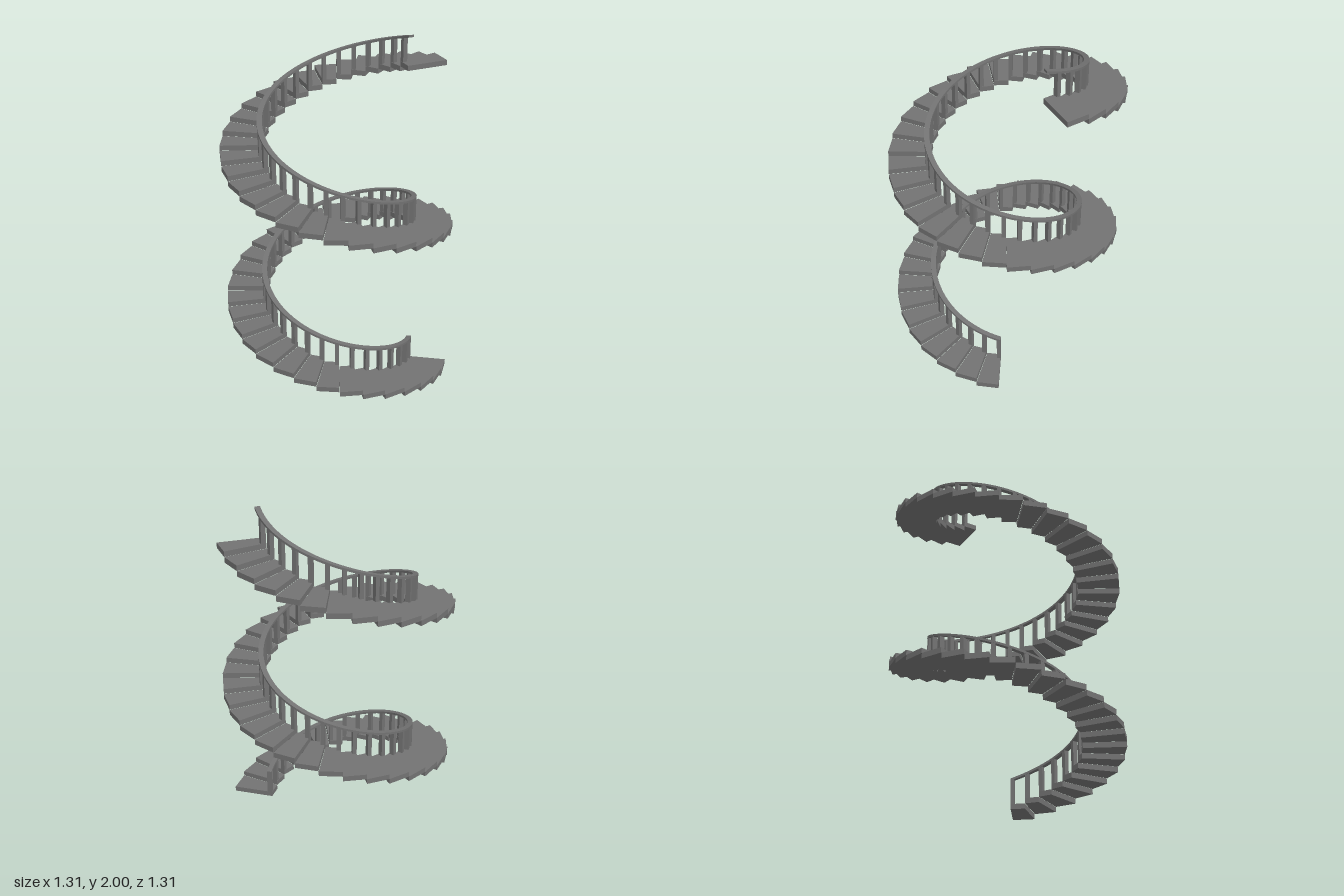
import * as THREE from 'three';
import { toCreasedNormals } from 'three/addons/utils/BufferGeometryUtils.js';

const STEPS = 60;
const RISE = 1.824 / STEPS;
const TURN = THREE.MathUtils.degToRad(11.487);
const START = THREE.MathUtils.degToRad(22.5);
const INNER = 0.416, OUTER = 0.655, RAIL_OUTER = 0.446;
const RAIL_START = 0.181, RAIL_END = 2, RAIL_THICK = 0.013;

const material = new THREE.MeshStandardMaterial({ color: 0x727272 });

const railTop = (t) => RAIL_START + (RAIL_END - RAIL_START) * t / STEPS;

// Wedge-shaped tread, its first edge lying along +x, base at y = 0
function treadGeometry() {
  const a = TURN - 0.003;
  const shape = new THREE.Shape([
    new THREE.Vector2(INNER, 0),
    new THREE.Vector2(OUTER, 0),
    new THREE.Vector2(OUTER * Math.cos(a), OUTER * Math.sin(a)),
    new THREE.Vector2(INNER * Math.cos(a), INNER * Math.sin(a)),
  ]);
  return new THREE.ExtrudeGeometry(shape, { depth: RISE, bevelEnabled: false })
    .rotateX(Math.PI / 2)
    .translate(0, RISE, 0);
}

// Rectangular section swept along the helix
function handrailGeometry() {
  const segments = STEPS * 4, positions = [], index = [];
  for (let i = 0; i <= segments; i++) {
    const t = i / 4, a = START + t * TURN, y = railTop(t);
    const section = [
      [INNER, y - RAIL_THICK], [RAIL_OUTER, y - RAIL_THICK], [RAIL_OUTER, y], [INNER, y],
    ];
    for (const [r, h] of section) positions.push(r * Math.cos(a), h, r * Math.sin(a));
    if (i === segments) break;
    for (let k = 0; k < 4; k++) {
      const p = i * 4 + k, q = i * 4 + (k + 1) % 4;
      index.push(p, q, p + 4, q, q + 4, p + 4);
    }
  }
  // End caps
  const e = segments * 4;
  index.push(0, 2, 1, 0, 3, 2, e, e + 1, e + 2, e, e + 2, e + 3);
  const geometry = new THREE.BufferGeometry();
  geometry.setAttribute('position', new THREE.Float32BufferAttribute(positions, 3));
  geometry.setIndex(index);
  return toCreasedNormals(geometry, Math.PI / 6);
}

export function createModel() {
  const model = new THREE.Group();
  model.name = 'spiralStaircase';

  const treadGeo = treadGeometry();
  const postWidth = 0.023, postDepth = RAIL_OUTER - INNER - 0.002;
  const postHeight = RAIL_START - RISE - 0.005;
  const postGeo = new THREE.BoxGeometry(postDepth, postHeight, postWidth)
    .translate((INNER + RAIL_OUTER) / 2, RISE + postHeight / 2, postWidth / 2);

  // One tread and one baluster per step
  for (let i = 0; i < STEPS; i++) {
    const step = new THREE.Group();
    step.name = 'step';
    const tread = new THREE.Mesh(treadGeo, material);
    tread.name = 'tread';
    const baluster = new THREE.Mesh(postGeo, material);
    baluster.name = 'baluster';
    step.add(tread, baluster);
    step.position.y = i * RISE;
    step.rotation.y = -(START + i * TURN);
    model.add(step);
  }

  const handrail = new THREE.Mesh(handrailGeometry(), material);
  handrail.name = 'handrail';
  model.add(handrail);
  return model;
}
